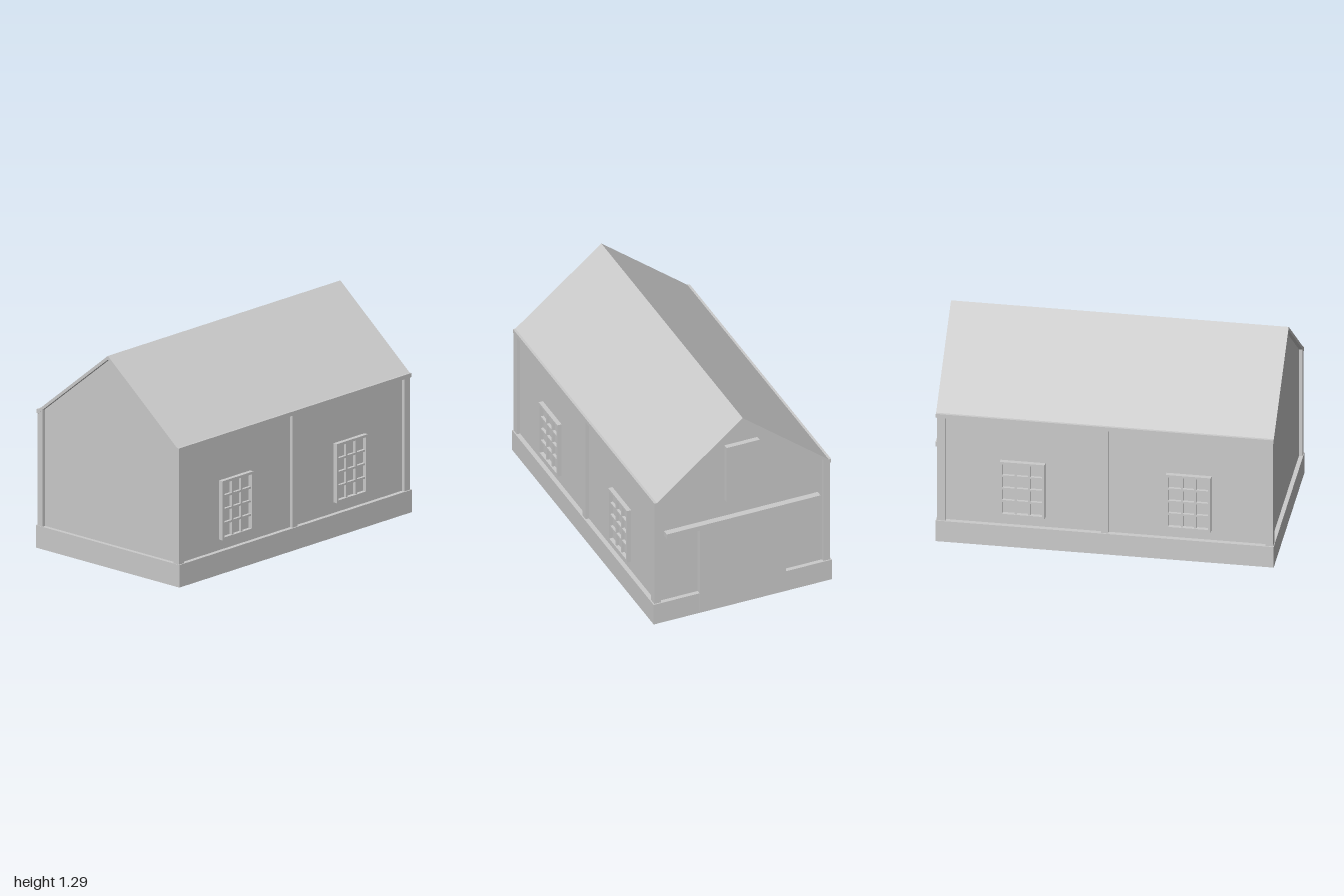
import * as THREE from 'three';

const material = new THREE.MeshStandardMaterial({ color: 0xcccccc, flatShading: true });

// Box given by its minimum and maximum corners
function box(parent, name, [x0, y0, z0], [x1, y1, z1]) {
  const mesh = new THREE.Mesh(new THREE.BoxGeometry(x1 - x0, y1 - y0, z1 - z0), material);
  mesh.position.set((x0 + x1) / 2, (y0 + y1) / 2, (z0 + z1) / 2);
  mesh.name = name;
  parent.add(mesh);
  return mesh;
}

// Front-view outline extruded from z0 to z1, with optional holes
function prism(parent, name, points, z0, z1) {
  const shape = new THREE.Shape(points.map(([x, y]) => new THREE.Vector2(x, y)));
  const geometry = new THREE.ExtrudeGeometry(shape, { depth: z1 - z0, bevelEnabled: false });
  const mesh = new THREE.Mesh(geometry, material);
  mesh.position.z = z0;
  mesh.name = name;
  parent.add(mesh);
  return mesh;
}

// Mirror a half outline (right side, listed from the middle outwards) across x = 0
const flip = (points) => points.map(([x, y]) => [-x, y]).reverse();

// Window facing +x, centred on its own origin: frame, pane and 3 x 4 glazing bars
function makeWindow() {
  const win = new THREE.Group();
  win.name = 'window';
  const w = 0.132, h = 0.18, f = 0.015, bar = 0.006;
  for (const s of [-1, 1]) {
    const z = s * (w - f / 2), y = s * (h - f / 2);
    box(win, 'windowJamb', [0, -h, z - f / 2], [0.027, h, z + f / 2]);
    box(win, 'windowRail', [0, y - f / 2, -w + f], [0.027, y + f / 2, w - f]);
  }
  box(win, 'windowPane', [-0.01, -h + f, -w + f], [0.003, h - f, w - f]);
  for (const i of [-1, 1]) {
    const z = i * (w - f) / 3;
    box(win, 'verticalBar', [0, -h + f, z - bar], [0.02, h - f, z + bar]);
  }
  for (const i of [-1, 0, 1]) {
    const y = i * (h - f) / 2;
    box(win, 'horizontalBar', [0, y - bar, -w + f], [0.02, y + bar, w - f]);
  }
  return win;
}

export function createModel() {
  const barn = new THREE.Group();
  barn.name = 'barn';

  // Plinth
  box(barn, 'base', [-0.568, 0, -0.987], [0.568, 0.137, 1]);

  // Recessed walls with gables
  prism(barn, 'walls', [[-0.54, 0.13], [0.54, 0.13], [0.54, 0.83], [0, 1.268], [-0.54, 0.83]], -0.96, 0.975);

  // Roof shell with squared eaves
  const top = [[0.548, 0.845], [0.563, 0.845], [0.563, 0.82], [0.552, 0.82]];
  prism(barn, 'roof', [[0, 1.288], ...flip(top).reverse(), [0, 1.265], ...top.slice().reverse()], -0.987, 0.998);

  // Timber posts at the corners and mid-wall, and side windows
  const post = [[0.518, 0.13], [0.56, 0.13], [0.56, 0.822], [0.518, 0.847]];
  const midPost = [[0.53, 0.13], [0.56, 0.13], [0.56, 0.822], [0.53, 0.838]];
  for (const side of [1, -1]) {
    const place = (p) => (side > 0 ? p : flip(p));
    prism(barn, 'frontCornerPost', place(post), 0.95, 0.996);
    prism(barn, 'backCornerPost', place(post), -0.979, -0.932);
    prism(barn, 'middlePost', place(midPost), -0.015, 0.027);
    for (const z of [0.498, -0.478]) {
      const win = makeWindow();
      win.position.set(side * 0.54, 0.381, z);
      if (side < 0) win.rotation.y = Math.PI;
      barn.add(win);
    }
  }

  // Back: large door, sliding rail above it, loft hatch in the gable
  box(barn, 'barnDoor', [-0.275, 0.002, -0.989], [0.275, 0.59, -0.95]);
  box(barn, 'doorRail', [-0.49, 0.585, -1], [0.49, 0.617, -0.95]);
  box(barn, 'loftHatch', [-0.105, 0.73, -0.992], [0.105, 1.11, -0.95]);

  return barn;
}
